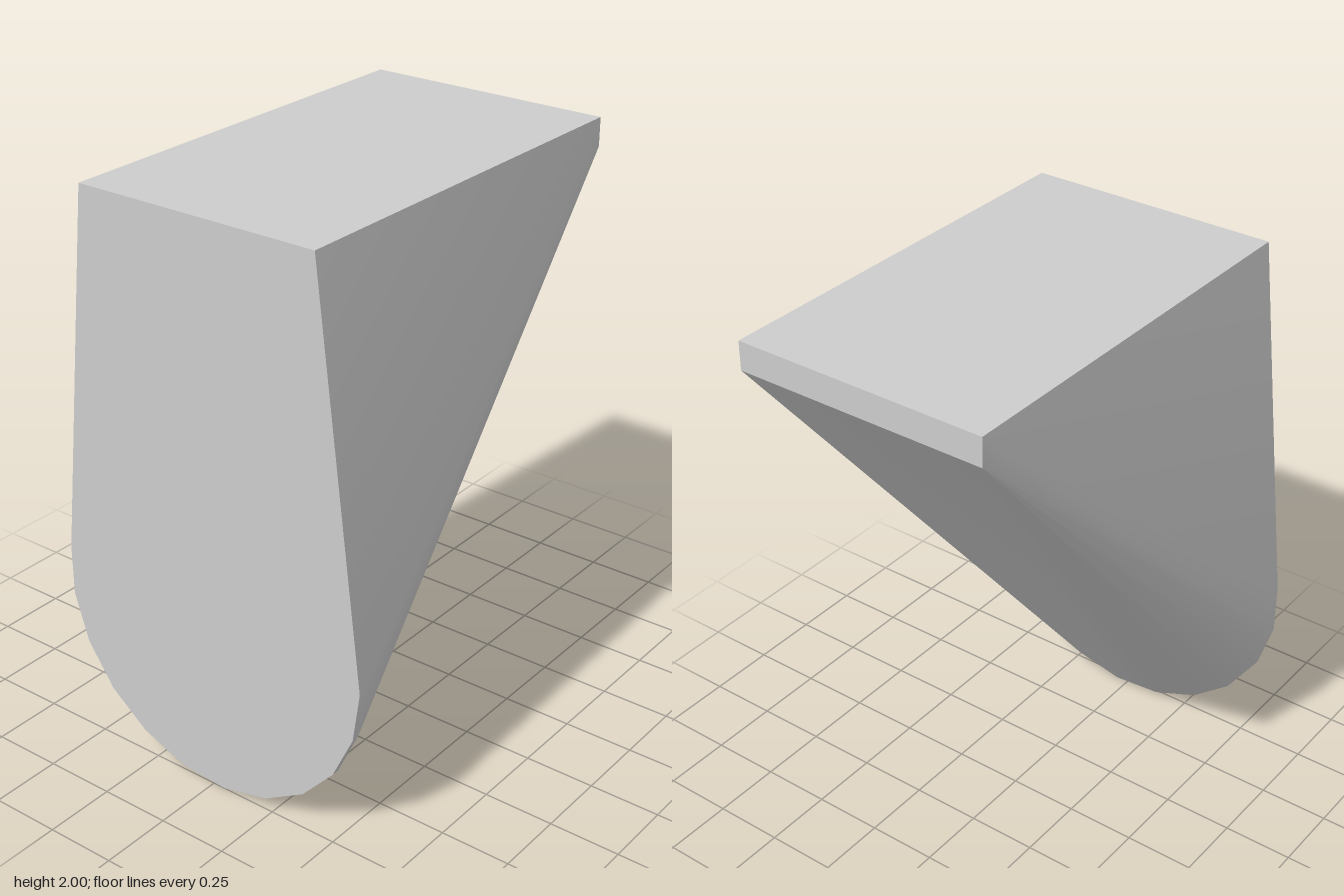
import * as THREE from 'three';
import { ConvexGeometry } from 'three/addons/geometries/ConvexGeometry.js';
import { toCreasedNormals } from 'three/addons/utils/BufferGeometryUtils.js';

export function createModel() {
  const group = new THREE.Group();
  group.name = 'taperedWedge';
  const grey = new THREE.MeshStandardMaterial({ color: 0xcccccc });
  grey.name = 'light grey';

  const points = [];
  const add = (x, y, z) => points.push(new THREE.Vector3(x, y, z));

  // Flat top slab: front edge, and a short vertical face at the back
  for (const x of [-0.45, 0.45]) {
    add(x, 2, 0.75);
    add(x, 2, -0.75);
    add(x, 1.9, -0.75);
  }

  // Thin round disc at the bottom of the front face
  const sides = 21, radius = 0.607;
  for (let i = 0; i < sides; i++) {
    const a = (i / sides) * Math.PI * 2;
    const x = Math.cos(a) * radius, y = 0.607 + Math.sin(a) * radius;
    add(x, y, 0.75);
    add(x, y, 0.725);
  }

  // Skin stretched over slab and disc, smooth only along the rounded underside
  const body = new THREE.Mesh(toCreasedNormals(new ConvexGeometry(points), 0.5), grey);
  body.name = 'body';
  group.add(body);
  return group;
}
